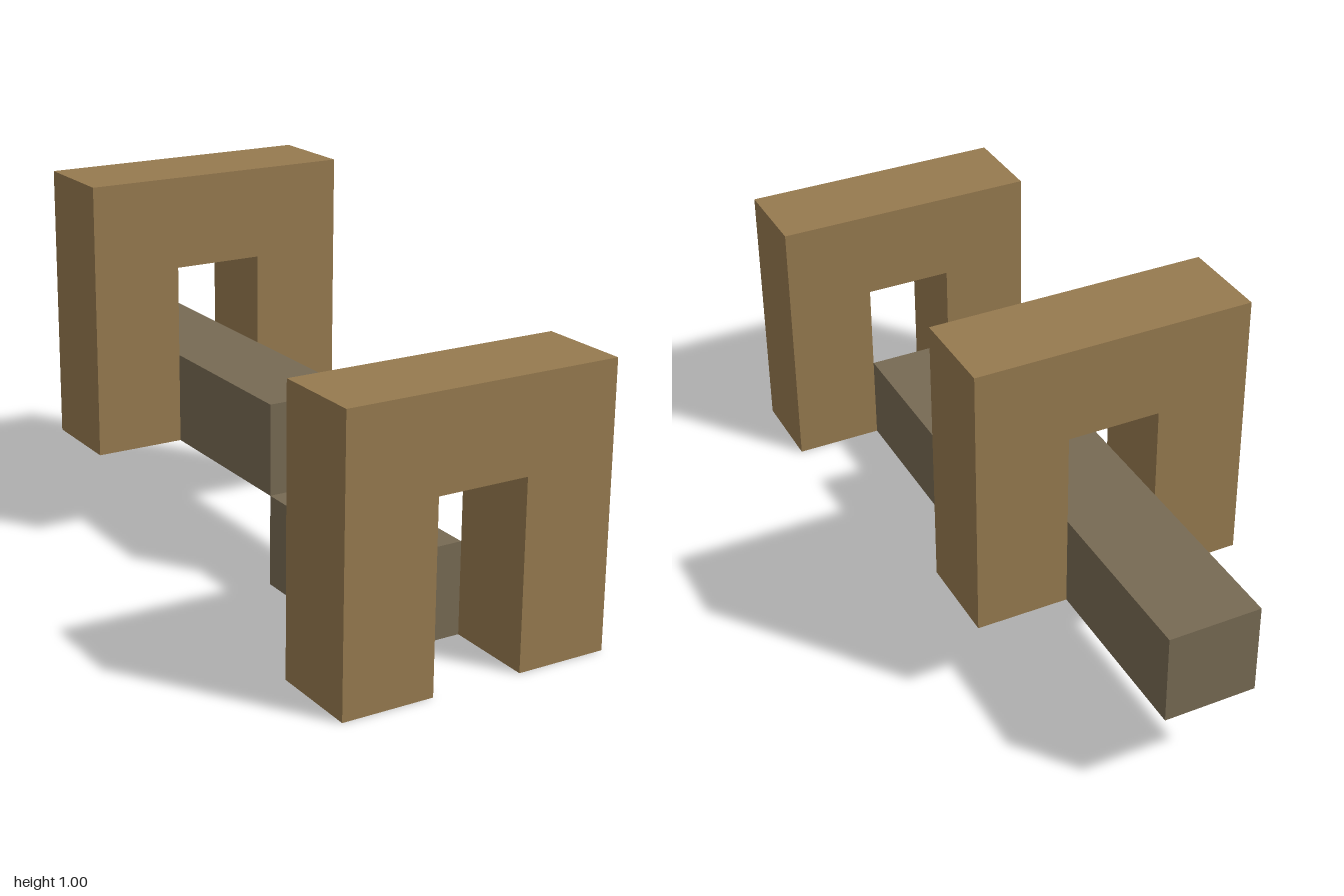
import * as THREE from 'three';

const wood = new THREE.MeshStandardMaterial({ color: 0x967a4f });
wood.name = 'brown wood';
const greyWood = new THREE.MeshStandardMaterial({ color: 0x776a53 });
greyWood.name = 'grey wood';

// Upside-down U block: 0.75 wide and tall, 0.25 deep, with a 0.25 x 0.5 opening
function makeArch(name, y, z) {
  const shape = new THREE.Shape([
    [-0.375, 0], [-0.125, 0], [-0.125, 0.5], [0.125, 0.5],
    [0.125, 0], [0.375, 0], [0.375, 0.75], [-0.375, 0.75],
  ].map(([px, py]) => new THREE.Vector2(px, py)));
  const geometry = new THREE.ExtrudeGeometry(shape, { depth: 0.25, bevelEnabled: false });
  const mesh = new THREE.Mesh(geometry, wood);
  mesh.name = name;
  mesh.position.set(0, y, z);
  return mesh;
}

// Square beam along z, given its underside height and its two ends
function makeBeam(name, y, zBack, zFront) {
  const mesh = new THREE.Mesh(new THREE.BoxGeometry(0.25, 0.25, zFront - zBack), greyWood);
  mesh.name = name;
  mesh.position.set(0, y + 0.125, (zBack + zFront) / 2);
  return mesh;
}

export function createModel() {
  const model = new THREE.Group();
  model.name = 'archesAndBeams';
  model.add(
    makeArch('frontArch', 0, 0.75),
    makeArch('rearArch', 0.25, -0.5),
    // The front beam butts against its arch; the rear beam runs through its arch
    makeBeam('frontBeam', 0, 0.25, 0.75),
    makeBeam('rearBeam', 0.25, -1, 0.25),
  );
  return model;
}
